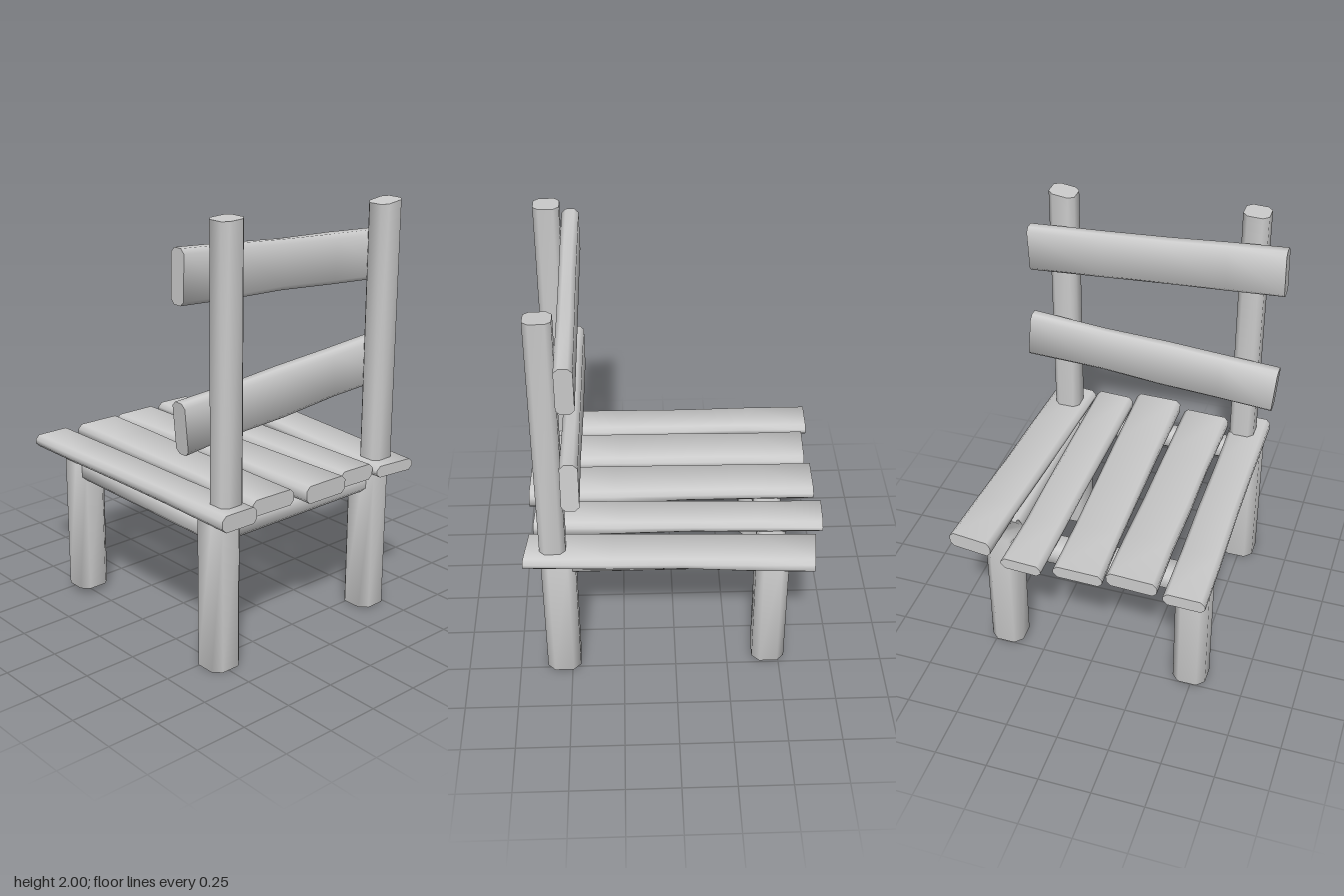
import * as THREE from 'three';
import { toCreasedNormals, mergeVertices } from 'three/addons/utils/BufferGeometryUtils.js';

const material = new THREE.MeshStandardMaterial({ color: 0xcccccc });

// Small seeded noise in -1..1 for the hand-hewn surface
let seed = 7;
const noise = () => {
  seed = (seed * 16807) % 2147483647;
  return (seed / 2147483647) * 2 - 1;
};

// Beam between two four-cornered ends with chamfered long edges.
// Corners run counter-clockwise about the axis from endA to endB.
function beam(name, endA, endB, { chamfer = 0.02, wear = 0, softEnds = false } = {}) {
  const a = endA.map((p) => new THREE.Vector3(...p));
  const b = endB.map((p) => new THREE.Vector3(...p));
  const stations = wear ? [0, 0.22, 0.45, 0.7, 1] : [0, 1];
  const positions = [], index = [];

  for (const t of stations) {
    const corners = a.map((p, k) => {
      const c = p.clone().lerp(b[k], t);
      const mid = a[(k + 2) % 4].clone().lerp(b[(k + 2) % 4], t);
      // Worn spots only ever pull inwards, between the ends
      if (t > 0 && t < 1) c.lerp(mid, wear * Math.max(0, noise()));
      return c;
    });
    corners.forEach((c, k) => {
      for (const other of [corners[(k + 3) % 4], corners[(k + 1) % 4]]) {
        const p = other.clone().sub(c).setLength(chamfer).add(c);
        positions.push(p.x, p.y, p.z);
      }
    });
  }

  // Sides
  for (let s = 0; s < stations.length - 1; s++) {
    for (let i = 0; i < 8; i++) {
      const p = s * 8 + i, q = s * 8 + ((i + 1) % 8);
      index.push(p, q, q + 8, p, q + 8, p + 8);
    }
  }
  // Ends
  const last = (stations.length - 1) * 8;
  for (let i = 1; i < 7; i++) {
    index.push(0, i + 1, i, last, last + i, last + i + 1);
  }

  let geometry = new THREE.BufferGeometry();
  geometry.setAttribute('position', new THREE.Float32BufferAttribute(positions, 3));
  geometry.setIndex(index);
  if (softEnds) {
    geometry = mergeVertices(geometry);
    geometry.computeVertexNormals();
  } else {
    geometry = toCreasedNormals(geometry, Math.PI / 3);
  }
  const mesh = new THREE.Mesh(geometry, material);
  mesh.name = name;
  return mesh;
}

// Upright beam; the top may slope from its -x side to its +x side
function upright(name, [x0, x1], [z0, z1], y0, [yL, yR], options) {
  const ring = (l, r) => [[x0, l, z1], [x1, r, z1], [x1, r, z0], [x0, l, z0]];
  return beam(name, ring(y0, y0), ring(yL, yR), options);
}

// Plank lying along z; each end is given by its two corners as [x, z]
function plank(name, [bl, br], [fl, fr], [y0, yBack, yFront], options) {
  const ring = ([lx, lz], [rx, rz], y1) => [[lx, y0, lz], [rx, y0, rz], [rx, y1, rz], [lx, y1, lz]];
  return beam(name, ring(bl, br, yBack), ring(fl, fr, yFront), options);
}

// Board running along x; each end is given by its bottom and top as [x, y]
function crossBoard(name, [lb, lt], [rb, rt], [z0, z1], options) {
  const ring = ([bx, by], [tx, ty]) => [[bx, by, z1], [bx, by, z0], [tx, ty, z0], [tx, ty, z1]];
  return beam(name, ring(lb, lt), ring(rb, rt), options);
}

export function createModel() {
  const chair = new THREE.Group();
  chair.name = 'woodenChair';

  // Legs, with the pair away from the backrest slightly shorter
  for (const [side, x] of [['Right', [-0.57, -0.41]], ['Left', [0.36, 0.52]]]) {
    const options = { chamfer: 0.035, softEnds: true };
    chair.add(upright('backrestLeg' + side, x, [0.46, 0.62], 0, [0.7, 0.7], options));
    chair.add(upright('seatEdgeLeg' + side, x, [-0.525, -0.37], 0.03, [0.7, 0.7], options));
  }

  // Rails joining the legs under the seat
  for (const z of [[0.495, 0.595], [-0.52, -0.39]]) {
    chair.add(crossBoard('crossRail', [[-0.43, 0.6], [-0.43, 0.7]], [[0.38, 0.6], [0.38, 0.7]], z));
  }
  for (const [x0, x1] of [[-0.55, -0.43], [0.385, 0.5]]) {
    chair.add(plank('sideRail', [[x0, -0.39], [x1, -0.39]], [[x0, 0.48], [x1, 0.48]], [0.6, 0.7, 0.7]));
  }

  // Five uneven seat planks: far end, near end, heights
  const planks = [
    [[[-0.6, -0.7], [-0.405, -0.695]], [[-0.58, 0.67], [-0.39, 0.675]], [0.695, 0.755, 0.772]],
    [[[-0.37, -0.665], [-0.13, -0.655]], [[-0.37, 0.625], [-0.135, 0.635]], [0.695, 0.765, 0.77]],
    [[[-0.12, -0.68], [0.115, -0.675]], [[-0.1, 0.68], [0.135, 0.685]], [0.695, 0.755, 0.778]],
    [[[0.165, -0.7], [0.36, -0.69]], [[0.15, 0.645], [0.345, 0.655]], [0.695, 0.75, 0.77]],
    [[[0.43, -0.645], [0.64, -0.62]], [[0.36, 0.67], [0.575, 0.695]], [0.695, 0.77, 0.75]],
  ];
  planks.forEach(([far, near, heights], i) => {
    chair.add(plank('seatPlank' + (i + 1), far, near, heights, { wear: 0.05 }));
  });

  // Backrest posts
  chair.add(upright('backPostRight', [-0.525, -0.403], [0.5, 0.62], 0.74, [1.995, 2], { chamfer: 0.025 }));
  chair.add(upright('backPostLeft', [0.403, 0.53], [0.5, 0.62], 0.74, [1.95, 1.967], { chamfer: 0.025 }));

  // Crooked boards across the posts
  const boards = [
    ['upperBackBoard', [[-0.64, 1.65], [-0.635, 1.885]], [[0.6, 1.575], [0.61, 1.805]]],
    ['lowerBackBoard', [[-0.62, 1.0], [-0.64, 1.235]], [[0.63, 1.085], [0.61, 1.32]]],
  ];
  for (const [name, rightEnd, leftEnd] of boards) {
    chair.add(crossBoard(name, rightEnd, leftEnd, [0.42, 0.5], { wear: 0.05 }));
  }

  return chair;
}
